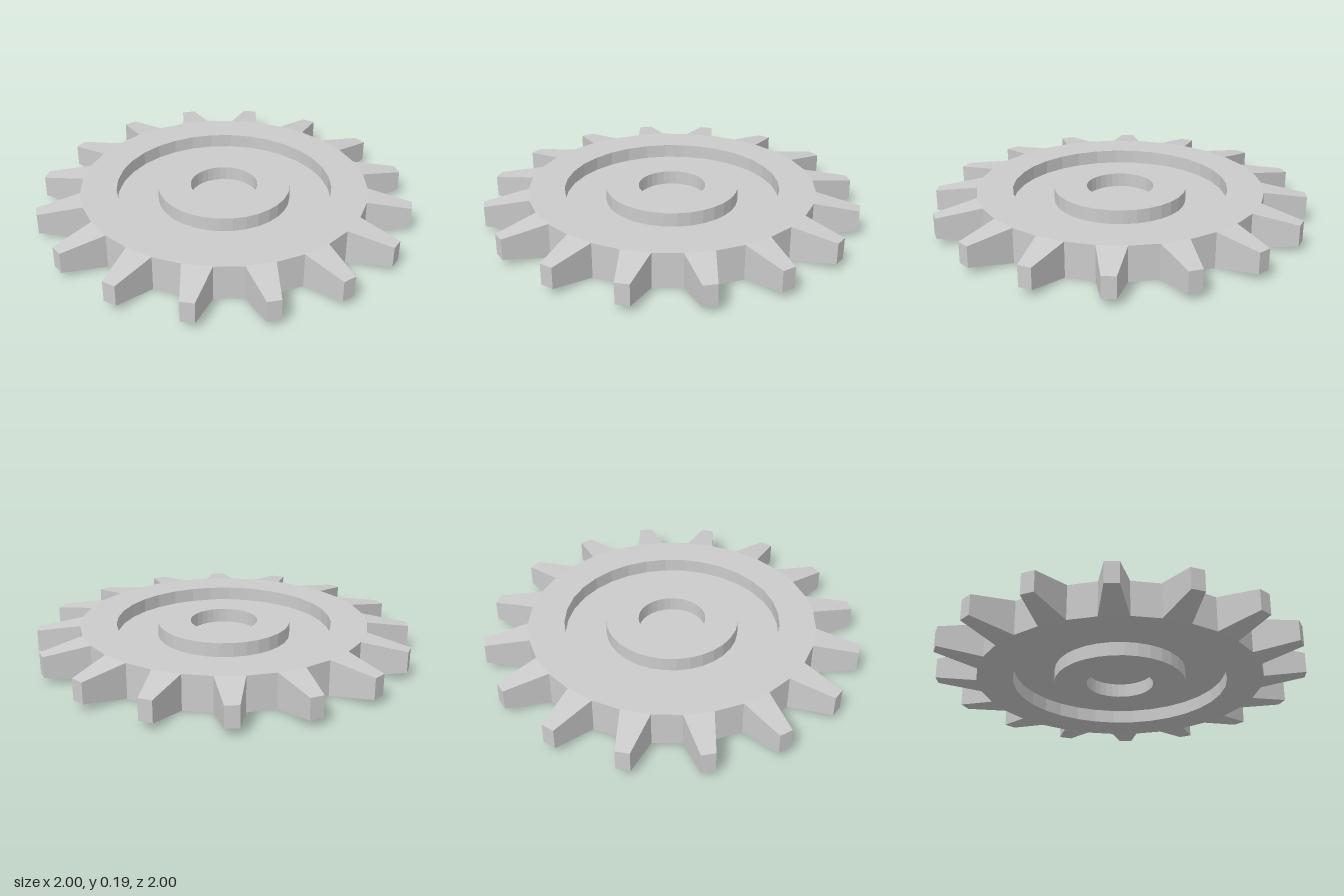
import * as THREE from 'three';

const TEETH = 16, SIDES = 32, HEIGHT = 0.187, DEPTH = 0.075;
const ROOT_R = 0.77, TIP_R = 1.002;
const STEP = (Math.PI * 2) / TEETH;

// Tapered tooth: a box whose corners are moved to polar positions
function toothGeometry() {
  const g = new THREE.BoxGeometry(2, 2, 2);
  const p = g.attributes.position;
  for (let i = 0; i < p.count; i++) {
    const tip = p.getX(i) > 0;
    const r = tip ? TIP_R : ROOT_R;
    const a = STEP / 4 - p.getZ(i) * (tip ? 0.036 : STEP / 4);
    const y = HEIGHT / 2 + p.getY(i) * (tip ? 0.056 : HEIGHT / 2);
    p.setXYZ(i, r * Math.cos(a), y, -r * Math.sin(a));
  }
  g.computeVertexNormals();
  return g;
}

export function createModel() {
  const gear = new THREE.Group();
  gear.name = 'gear';
  const material = new THREE.MeshStandardMaterial({ color: 0xcccccc, flatShading: true });

  // Body: hub with a blind bore and a ring groove, the same above and below
  const lower = [
    [0, DEPTH], [0.18, DEPTH], [0.18, 0], [0.355, 0],
    [0.355, DEPTH], [0.577, DEPTH], [0.577, 0], [ROOT_R, 0],
  ];
  const upper = lower.map(([r, y]) => [r, HEIGHT - y]).reverse();
  const profile = [...lower, ...upper].map(([r, y]) => new THREE.Vector2(r, y));
  const body = new THREE.Mesh(new THREE.LatheGeometry(profile, SIDES), material);
  body.name = 'body';
  gear.add(body);

  // Teeth around the rim
  const teeth = new THREE.Group();
  teeth.name = 'teeth';
  const geometry = toothGeometry();
  for (let i = 0; i < TEETH; i++) {
    const tooth = new THREE.Mesh(geometry, material);
    tooth.name = `tooth${i + 1}`;
    tooth.rotation.y = i * STEP;
    teeth.add(tooth);
  }
  gear.add(teeth);

  return gear;
}
